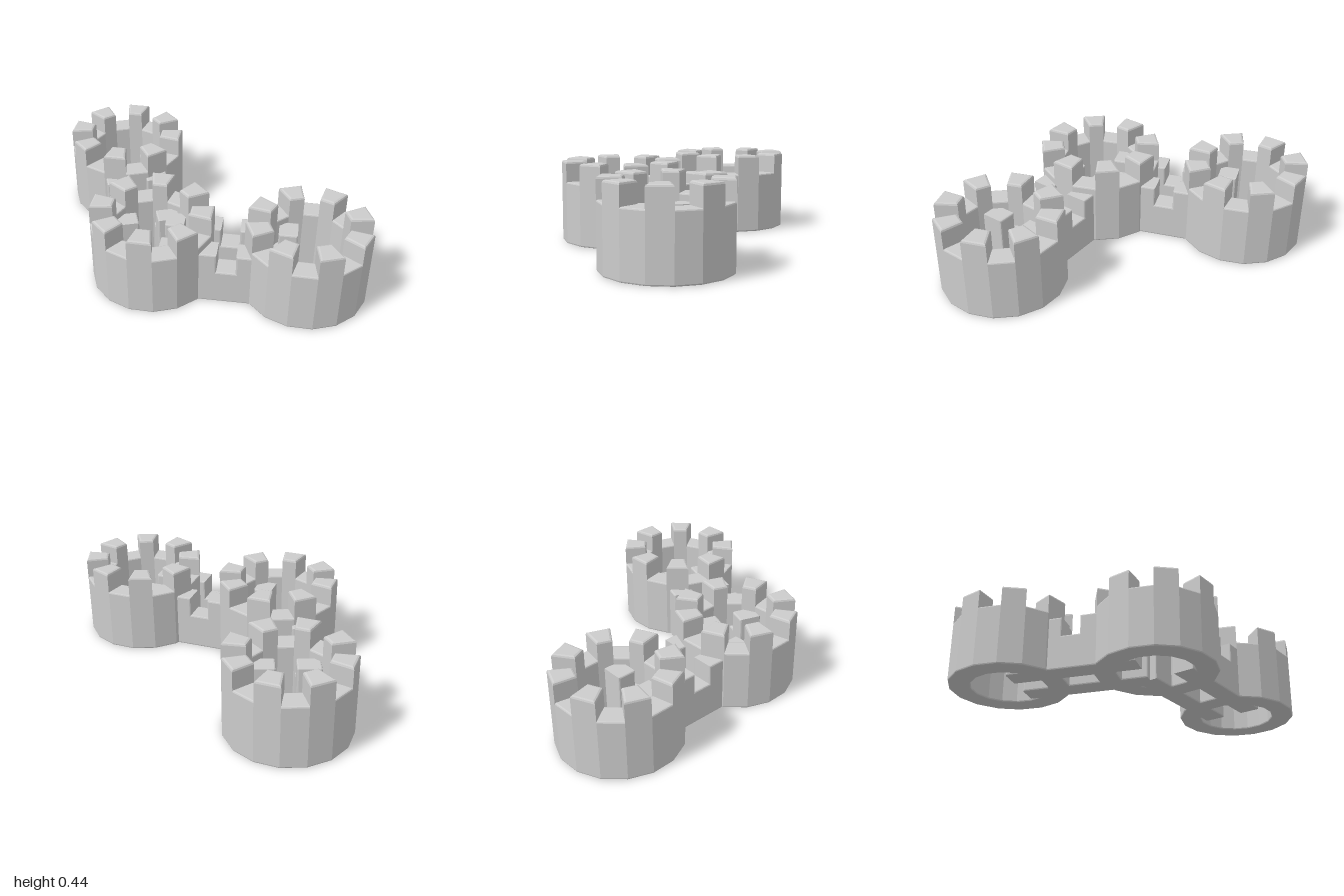
import * as THREE from 'three';

const SIDES = 16, R_OUT = 0.327, R_IN = 0.206;
const WALK_Y = 0.335, TOP_Y = 0.443, BEVEL = 0.012;
const material = new THREE.MeshStandardMaterial({ color: 0xcccccc, flatShading: true });

// Point on a ring, angle counted from +z towards +x, in sides
const ringPoint = (r, side) => {
  const a = (side / SIDES) * Math.PI * 2;
  return new THREE.Vector2(r * Math.sin(a), -r * Math.cos(a));
};

// Extrude with a small bevel that stays inside the outline, spanning 0..height
function bevelled(shape, height, bevel = BEVEL) {
  const geo = new THREE.ExtrudeGeometry(shape, {
    depth: height - 2 * bevel, bevelEnabled: true, bevelSegments: 2,
    bevelSize: bevel, bevelThickness: bevel, bevelOffset: -bevel,
  });
  return geo.translate(0, 0, bevel);
}

function addMesh(parent, geo, name) {
  const mesh = new THREE.Mesh(geo, material);
  mesh.name = name;
  parent.add(mesh);
  return mesh;
}

// Hollow sixteen-sided tower with a merlon on every second side
function makeTower(name, x, z, firstMerlon) {
  const tower = new THREE.Group();
  tower.name = name;
  tower.position.set(x, 0, z);

  const outer = [], inner = [];
  for (let i = 0; i < SIDES; i++) {
    outer.push(ringPoint(R_OUT, i));
    inner.push(ringPoint(R_IN, i));
  }
  const ring = new THREE.Shape(outer);
  ring.holes.push(new THREE.Path(inner));
  addMesh(tower, bevelled(ring, WALK_Y, 0.008).rotateX(-Math.PI / 2), 'towerRing');

  const base = WALK_Y - 0.03;
  for (let i = firstMerlon; i < SIDES; i += 2) {
    const wedge = new THREE.Shape([
      ringPoint(R_OUT, i), ringPoint(R_OUT, i + 1),
      ringPoint(R_IN, i + 1), ringPoint(R_IN, i),
    ]);
    const geo = bevelled(wedge, TOP_Y - base).rotateX(-Math.PI / 2).translate(0, base, 0);
    addMesh(tower, geo, 'towerMerlon');
  }
  return tower;
}

// Straight wall of seven equal lengths, alternately merlon and notch
function makeWall(name, x, z, angle) {
  const length = 0.7, thickness = 0.122, top = 0.297, notch = 0.19, parts = 7;
  const shape = new THREE.Shape();
  shape.moveTo(-length / 2, 0);
  for (let i = 0; i < parts; i++) {
    const y = i % 2 ? notch : top;
    shape.lineTo(-length / 2 + (i * length) / parts, y);
    shape.lineTo(-length / 2 + ((i + 1) * length) / parts, y);
  }
  shape.lineTo(length / 2, 0);
  shape.closePath();
  const geo = bevelled(shape, thickness, 0.008).translate(0, 0, -thickness / 2);
  const wall = addMesh(new THREE.Group(), geo, name);
  wall.position.set(x, 0, z);
  wall.rotation.y = angle;
  return wall;
}

export function createModel() {
  const model = new THREE.Group();
  model.name = 'castleWalls';

  model.add(
    makeTower('frontTower', 0, 0.23, 1),
    makeTower('rightTower', -0.673, -0.224, 1),
    makeTower('leftTower', 0.668, -0.233, 0),
  );

  // A pair of parallel walls joins the front tower to each rear tower
  const slope = THREE.MathUtils.degToRad(35.3);
  for (const [side, s] of [['right', -1], ['left', 1]]) {
    model.add(
      makeWall(side + 'RearWall', s * 0.274, -0.09, s * slope),
      makeWall(side + 'FrontWall', s * 0.405, 0.093, s * slope),
    );
  }
  return model;
}
